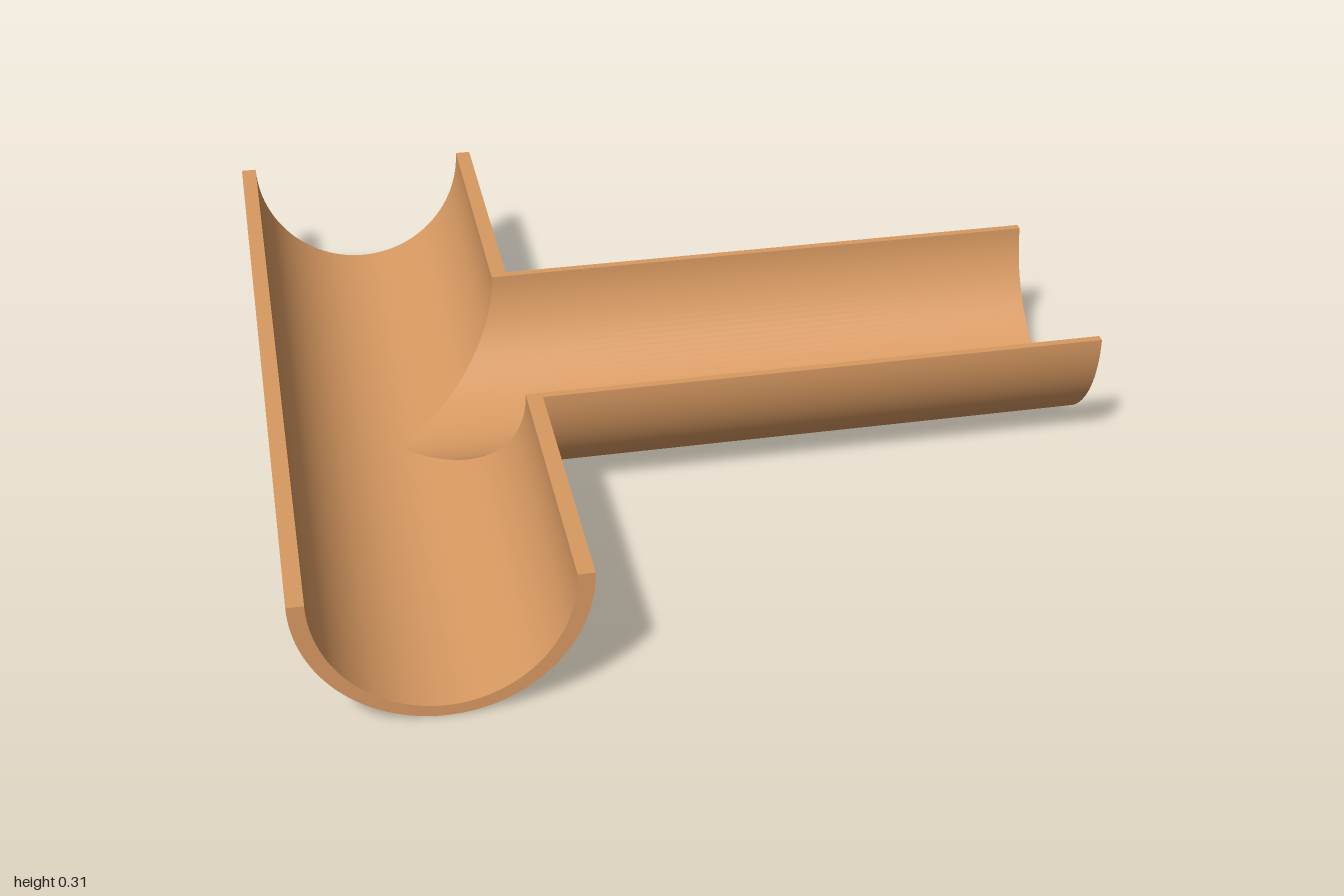
import * as THREE from 'three';
import { mergeGeometries } from 'three/addons/utils/BufferGeometryUtils.js';

const H = 0.305, XC = -0.652, ZC = 0.012, X_END = 0.953, Z_END = 1, SEG = 32;
// Half-width radii across each trough, and depth, of the two skins
const OUTER = { x: 0.302, y: 0.305, z: 0.302 };
const INNER = { x: 0.266, y: 0.28, z: 0.283 };

// Ruled surface between two rows of points
function sheet(rowA, rowB, flip) {
  const n = rowA.length, index = [];
  for (let i = 0; i < n - 1; i++) {
    const a = i, b = i + n, c = i + 1, d = i + n + 1;
    index.push(...(flip ? [a, c, b, c, d, b] : [a, b, c, c, b, d]));
  }
  const geo = new THREE.BufferGeometry().setFromPoints([...rowA, ...rowB]);
  geo.setIndex(index);
  geo.computeVertexNormals();
  return geo;
}

// Quarter-round row from rim to bottom; sx, sz choose the side, 'fixed' squares off the end
function row(skin, sx, sz, fixed = {}) {
  return Array.from({ length: SEG + 1 }, (_, i) => {
    const a = (i / SEG) * Math.PI / 2;
    const p = new THREE.Vector3(
      XC + sx * skin.x * Math.cos(a),
      H - skin.y * Math.sin(a),
      ZC + sz * skin.z * Math.cos(a));
    return Object.assign(p, fixed);
  });
}

// One trough wall: outer skin, inner skin, rim and open-end caps
function wall(name, material, { sx, sz, start, end, flip }) {
  const ao = row(OUTER, sx, sz, start), ai = row(INNER, sx, sz, start);
  const bo = row(OUTER, sx, sz, end), bi = row(INNER, sx, sz, end);
  const parts = [
    sheet(ao, bo, flip),
    sheet(ai, bi, !flip),
    sheet([ai[0], ao[0]], [bi[0], bo[0]], flip),
    sheet(bo, bi, flip),
  ];
  if (start) parts.push(sheet(ai, ao, flip));
  const mesh = new THREE.Mesh(mergeGeometries(parts), material);
  mesh.name = name;
  return mesh;
}

export function createModel() {
  const group = new THREE.Group();
  group.name = 'teeGutter';
  const material = new THREE.MeshStandardMaterial({ color: 0xd99a62, side: THREE.DoubleSide });

  // Unbroken wall of the main trough
  group.add(wall('mainTroughFarWall', material,
    { sx: -1, sz: 1, start: { z: -Z_END }, end: { z: Z_END }, flip: true }));

  // Mitred walls either side of the junction
  for (const s of [1, -1]) {
    const side = s > 0 ? 'Front' : 'Back';
    group.add(wall(`mainTrough${side}Wall`, material,
      { sx: 1, sz: s, end: { z: s * Z_END }, flip: s < 0 }));
    group.add(wall(`branchTrough${side}Wall`, material,
      { sx: 1, sz: s, end: { x: X_END }, flip: s > 0 }));
  }
  return group;
}
